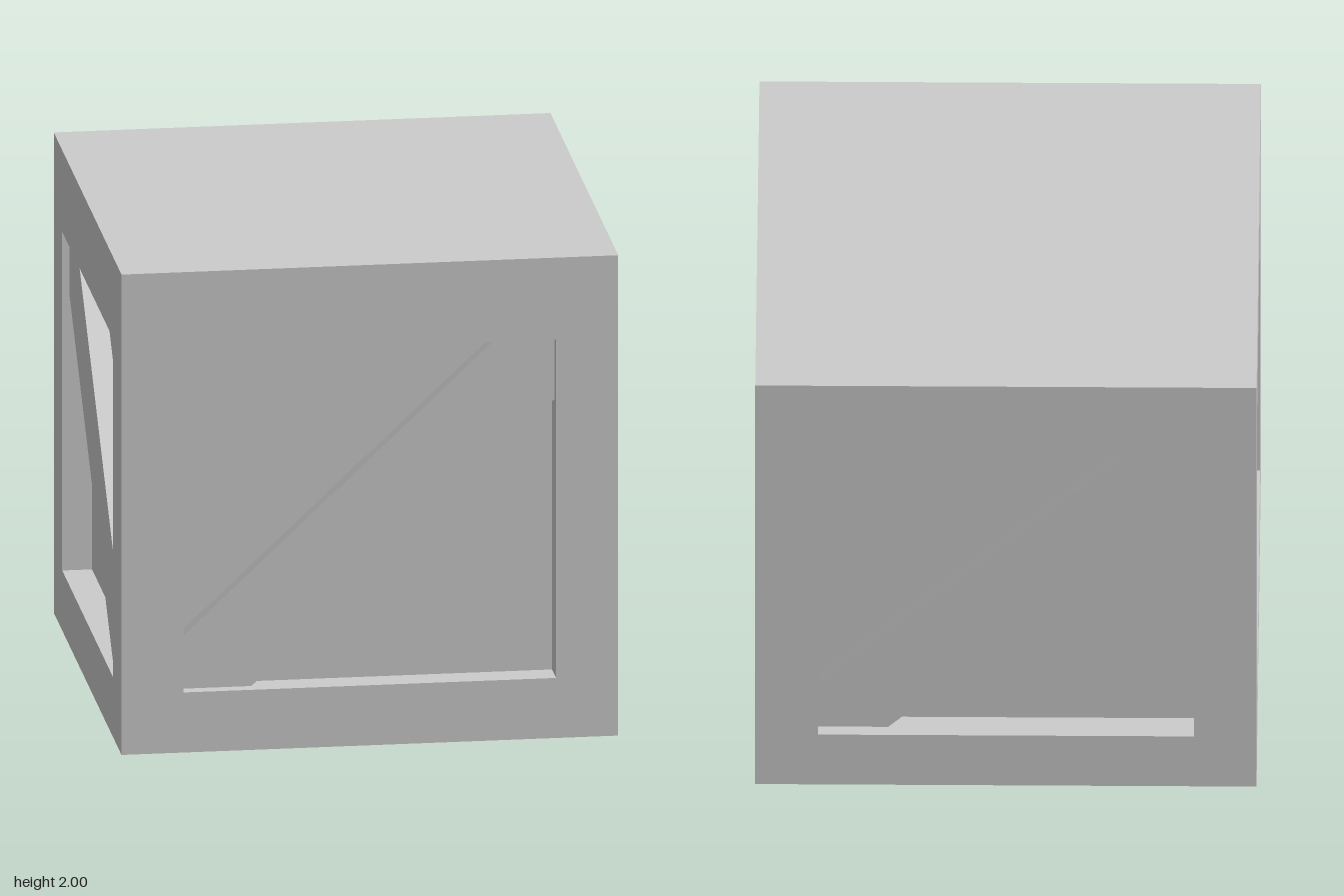
import * as THREE from 'three';

const DEPTH = 0.12; // depth of every recess
const OPEN = 0.75;  // half width of every recess

const material = new THREE.MeshStandardMaterial({ color: 0xcccccc, flatShading: true });

const polygon = (points) => points.map(([x, y]) => new THREE.Vector2(x, y));
const rectangle = (x, y0, y1) => polygon([[-x, y0], [x, y0], [x, y1], [-x, y1]]);

// Extrudes a shape outwards from the recess floor
function slab(name, shape, depth) {
  const geometry = new THREE.ExtrudeGeometry(shape, { depth, bevelEnabled: false });
  geometry.translate(0, 0, 1 - DEPTH);
  const mesh = new THREE.Mesh(geometry, material);
  mesh.name = name;
  return mesh;
}

// Frame with a window and a slightly sunk diagonal brace, facing +z
function createPanel(name, outer, hole, brace, inset) {
  const panel = new THREE.Group();
  panel.name = name;
  const frame = new THREE.Shape(outer);
  frame.holes.push(new THREE.Path(hole));
  panel.add(slab(name + 'Frame', frame, DEPTH));
  panel.add(slab(name + 'Brace', new THREE.Shape(polygon(brace)), DEPTH - inset));
  return panel;
}

export function createModel() {
  const crate = new THREE.Group();
  crate.name = 'crate';
  const inner = 1 - DEPTH;
  const sideHole = () => rectangle(OPEN, 0.25, 1.66);

  // Solid body: plain lid on top, recess floors on the other faces
  const body = new THREE.Mesh(new THREE.BoxGeometry(2 * inner, 2 - DEPTH, 2 * inner), material);
  body.name = 'body';
  body.position.y = 1 + DEPTH / 2;
  crate.add(body);

  // Braces, clipped to their windows
  const risingBrace = [[-0.75, 0.25], [-0.47, 0.25], [0.75, 1.395], [0.75, 1.645],
    [0.735, 1.66], [0.52, 1.66], [-0.75, 0.465]];
  const fallingBrace = [[-0.75, 1.39], [0.525, 0.25], [0.75, 0.25], [0.75, 0.51],
    [-0.53, 1.66], [-0.72, 1.66], [-0.75, 1.62]];
  const bottomBrace = [[0.75, 0.75], [0.54, 0.75], [-0.75, -0.54], [-0.75, -0.75],
    [-0.47, -0.75], [0.75, 0.47]];

  // Front and back, then the two sides fitted between them
  ['front', 'back'].forEach((name, i) => {
    const panel = createPanel(name, rectangle(1, 0, 2), sideHole(), risingBrace, 0.053);
    panel.rotation.y = i * Math.PI;
    crate.add(panel);
  });
  ['leftSide', 'rightSide'].forEach((name, i) => {
    const panel = createPanel(name, rectangle(inner, 0, 2), sideHole(), fallingBrace, 0.03);
    panel.rotation.y = Math.PI / 2 + i * Math.PI;
    crate.add(panel);
  });

  // Underside
  const bottom = createPanel('bottom', rectangle(inner, -inner, inner),
    rectangle(OPEN, -OPEN, OPEN), bottomBrace, 0.04);
  bottom.rotation.x = Math.PI / 2;
  bottom.position.y = 1;
  crate.add(bottom);

  return crate;
}
